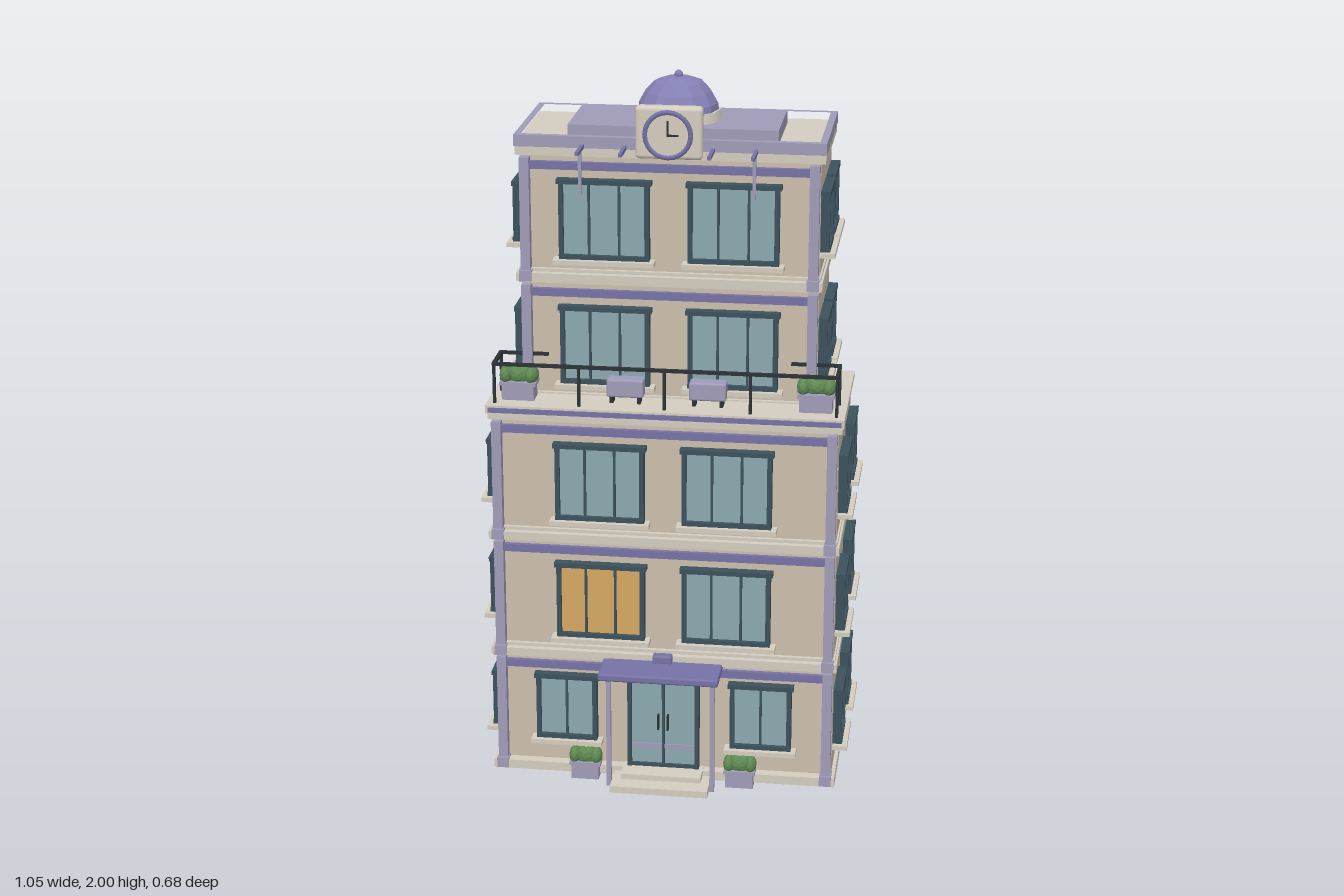
import * as THREE from 'three';
import { RoundedBoxGeometry } from 'three/addons/geometries/RoundedBoxGeometry.js';

const mat = (color, extra = {}) => new THREE.MeshStandardMaterial({ color, ...extra });
const M = {
  wall: mat(0xcbbfac), trim: mat(0xd3ccbf), lilac: mat(0x9f9bb7), purple: mat(0x7672a6),
  dome: mat(0x8480b4, { flatShading: true }), frame: mat(0x3c515c), glass: mat(0x8ba8b0),
  lit: mat(0xd4a762), dark: mat(0x2b3236), leaf: mat(0x5f8a52, { flatShading: true }),
};

function add(parent, name, geometry, material, x = 0, y = 0, z = 0) {
  const mesh = new THREE.Mesh(geometry, material);
  mesh.name = name;
  mesh.position.set(x, y, z);
  parent.add(mesh);
  return mesh;
}
const box = (p, name, m, w, h, d, x, y, z) => add(p, name, new THREE.BoxGeometry(w, h, d), m, x, y, z);
// Box given by its bottom and top heights
const slab = (p, name, m, w, y0, y1, z0, z1, x = 0) =>
  box(p, name, m, w, y1 - y0, z1 - z0, x, (y0 + y1) / 2, (z0 + z1) / 2);
const rounded = (p, name, m, w, h, d, r, x, y, z) =>
  add(p, name, new RoundedBoxGeometry(w, h, d, 2, r), m, x, y, z);

function group(parent, name, x = 0, y = 0, z = 0, turn = 0) {
  const g = new THREE.Group();
  g.name = name;
  g.position.set(x, y, z);
  g.rotation.y = turn;
  parent.add(g);
  return g;
}

// Framed window facing local +z, origin at its centre on the wall
function addWindow(parent, x, y, z, turn, w, h, panes, glass = M.glass) {
  const g = group(parent, 'window', x, y, z, turn);
  const t = 0.013;
  box(g, 'glass', glass, w - t, h - t, 0.03, 0, 0, 0);
  for (const s of [-1, 1]) {
    box(g, 'frameSide', M.frame, t, h, 0.05, s * (w - t) / 2, 0, 0);
    box(g, 'frameRail', M.frame, w + (s > 0 ? 0.012 : 0), t, 0.054, 0, s * (h - t) / 2, 0);
  }
  for (let i = 1; i < panes; i++)
    box(g, 'mullion', M.frame, 0.007, h - t, 0.04, w * (i / panes - 0.5), 0, 0);
  box(g, 'sill', M.trim, w + 0.03, 0.013, 0.06, 0, -h / 2 - 0.006, 0.012);
}

// Planter box with a clipped row of shrubs
function addPlanter(parent, x, y, z, w, d) {
  const g = group(parent, 'planter', x, y, z);
  box(g, 'planterBox', M.lilac, w * 0.88, 0.045, d * 0.9, 0, 0.0225, 0);
  box(g, 'planterRim', M.lilac, w, 0.01, d, 0, 0.047, 0);
  for (let i = 0; i < 4; i++) {
    const bush = add(g, 'shrub', new THREE.IcosahedronGeometry(1, 1), M.leaf, w * (i - 1.5) * 0.235, 0.068, 0);
    bush.scale.set(w * 0.18, 0.027, d * 0.55);
    bush.rotation.y = i;
  }
}

function addStorey(root, i) {
  const upper = i > 2, y = [0.01, 0.366, 0.722, 1.085, 1.445][i];
  const hw = upper ? 0.412 : 0.482, zf = upper ? 0.08 : 0.2, zb = -0.3;
  const g = group(root, 'storey' + (i + 1), 0, y, 0);
  slab(g, 'walls', M.wall, hw * 2, 0, 0.355, zb, zf);
  slab(g, 'baseBand', M.trim, hw * 2 + 0.022, 0, 0.024, zb - 0.01, zf + 0.03);
  if (i) slab(g, 'baseLip', M.trim, hw * 2 + 0.01, -0.008, 0.033, zb - 0.005, zf + 0.012);
  // Corner pilasters and head beam of the facade
  for (const s of [-1, 1]) {
    slab(g, 'pilaster', M.lilac, 0.027, 0.02, 0.347, zf - 0.01, zf + 0.025, s * (hw - 0.015));
    slab(g, 'pilasterFoot', M.lilac, 0.034, 0.0, 0.03, zf - 0.01, zf + 0.034, s * (hw - 0.015));
  }
  slab(g, 'headBeam', M.purple, hw * 2 - 0.05, 0.314, 0.336, zf - 0.01, zf + 0.013);
  for (const s of [-1, 1]) {
    // Front
    if (i) addWindow(g, s * 0.178, 0.178, zf, 0, 0.25, 0.225, 3, i === 1 && s < 0 ? M.lit : M.glass);
    else addWindow(g, s * 0.279, 0.2, zf, 0, 0.175, 0.2, 2);
    // Sides
    for (const z of upper ? [-0.012, -0.208] : [0.08, -0.183])
      addWindow(g, s * hw, 0.185, z, s * Math.PI / 2, 0.152, 0.172, 2);
    // Back
    addWindow(g, s * (upper ? 0.235 : 0.275), 0.188, zb, Math.PI, 0.182, 0.18, 2, i === 1 && s > 0 ? M.lit : M.glass);
  }
}

function addEntrance(root) {
  const g = group(root, 'entrance');
  box(g, 'doorGlass', M.glass, 0.19, 0.29, 0.03, 0, 0.185, 0.2);
  box(g, 'doorHead', M.frame, 0.205, 0.014, 0.054, 0, 0.335, 0.2);
  box(g, 'threshold', M.frame, 0.2, 0.012, 0.045, 0, 0.04, 0.2);
  box(g, 'doorMeetingStile', M.frame, 0.008, 0.29, 0.042, 0, 0.185, 0.2);
  box(g, 'kickRail', M.lilac, 0.18, 0.014, 0.036, 0, 0.1, 0.2);
  slab(g, 'lowerStep', M.trim, 0.28, 0.0, 0.02, 0.2, 0.33);
  slab(g, 'upperStep', M.trim, 0.23, 0.02, 0.036, 0.2, 0.28);
  rounded(g, 'canopy', M.purple, 0.34, 0.022, 0.145, 0.006, 0, 0.362, 0.267);
  rounded(g, 'canopyLamp', M.purple, 0.056, 0.026, 0.03, 0.006, 0, 0.382, 0.232);
  for (const s of [-1, 1]) {
    box(g, 'doorFrame', M.frame, 0.012, 0.3, 0.05, s * 0.097, 0.185, 0.2);
    box(g, 'doorHandle', M.dark, 0.005, 0.045, 0.016, s * 0.014, 0.18, 0.225);
    box(g, 'canopyPost', M.lilac, 0.013, 0.355, 0.013, s * 0.148, 0.1775, 0.282);
    addPlanter(g, s * 0.223, 0, 0.235, 0.09, 0.045);
  }
}

function addBackDoor(root) {
  const g = group(root, 'serviceEntrance');
  box(g, 'serviceDoor', M.lilac, 0.088, 0.275, 0.024, 0, 0.172, -0.3);
  box(g, 'serviceDoorHead', M.frame, 0.106, 0.012, 0.046, 0, 0.315, -0.3);
  for (const s of [-1, 1]) box(g, 'serviceDoorJamb', M.frame, 0.01, 0.28, 0.036, s * 0.047, 0.172, -0.3);
  for (let i = 0; i < 4; i++) {
    const slat = box(g, 'ventSlat', M.dark, 0.1, 0.012, 0.035, 0.125, 0.125 + i * 0.022, -0.31);
    slat.rotation.x = 0.3;
  }
}

function addBalcony(root) {
  const g = group(root, 'balcony');
  slab(g, 'terrace', M.trim, 0.985, 1.07, 1.086, -0.305, 0.205);
  slab(g, 'balconyFloor', M.trim, 0.996, 1.09, 1.114, 0.03, 0.215);
  slab(g, 'balconyEdge', M.purple, 0.98, 1.094, 1.108, 0.2, 0.219);
  const posts = [[-0.475, 0.19], [-0.238, 0.19], [0, 0.19], [0.238, 0.19], [0.475, 0.19], [-0.475, 0.085], [0.475, 0.085]];
  for (const [x, z] of posts) box(g, 'railPost', M.dark, 0.008, 0.12, 0.008, x, 1.17, z);
  box(g, 'frontRail', M.dark, 0.96, 0.009, 0.01, 0, 1.228, 0.19);
  box(g, 'backRail', M.dark, 0.14, 0.009, 0.008, -0.41, 1.228, 0.085);
  box(g, 'backRail', M.dark, 0.14, 0.009, 0.008, 0.41, 1.228, 0.085);
  for (const s of [-1, 1]) {
    box(g, 'sideRail', M.dark, 0.01, 0.009, 0.112, s * 0.475, 1.228, 0.138);
    addPlanter(g, s * 0.415, 1.114, 0.135, 0.103, 0.06);
    rounded(g, 'bench', M.lilac, 0.103, 0.052, 0.046, 0.006, s * 0.115, 1.158, 0.133);
    for (const e of [-1, 1]) box(g, 'benchFoot', M.dark, 0.01, 0.024, 0.036, s * 0.115 + e * 0.038, 1.124, 0.133);
  }
}

function addRoof(root) {
  const g = group(root, 'roof');
  slab(g, 'cornice', M.trim, 0.85, 1.795, 1.828, -0.308, 0.085);
  // Parapet ring
  const rect = (w, z0, z1, S) => new S([[-w, z0], [w, z0], [w, z1], [-w, z1]].map(([x, z]) => new THREE.Vector2(x, -z)));
  const ring = rect(0.427, -0.312, 0.09, THREE.Shape);
  ring.holes.push(rect(0.408, -0.293, 0.07, THREE.Path));
  const parapet = new THREE.ExtrudeGeometry(ring, { depth: 0.032, bevelEnabled: false });
  add(g, 'parapet', parapet, M.lilac, 0, 1.82, 0).rotation.x = -Math.PI / 2;
  slab(g, 'roofDeck', M.lilac, 0.58, 1.82, 1.867, -0.244, 0.015);
  // Twelve-sided dome on a drum
  add(g, 'drum', new THREE.CylinderGeometry(0.118, 0.124, 0.03, 12), M.trim, 0, 1.878, -0.115);
  const profile = [[0.112, 1.89], [0.11, 1.91], [0.092, 1.942], [0.068, 1.968], [0.035, 1.98], [0, 1.983]];
  add(g, 'dome', new THREE.LatheGeometry(profile.map(p => new THREE.Vector2(...p)), 12), M.dome, 0, 0, -0.115);
  add(g, 'finial', new THREE.SphereGeometry(0.012, 8, 6), M.dome, 0, 1.988, -0.115);
  // Brackets with hanging rods
  for (const s of [-1, 1]) {
    for (const x of [0.12, 0.237]) box(g, 'bracket', M.purple, 0.01, 0.01, 0.125, s * x, 1.826, 0.122);
    box(g, 'hangingRod', M.lilac, 0.009, 0.125, 0.009, s * 0.237, 1.765, 0.135);
  }
}

function addClock(root) {
  const g = group(root, 'clock', 0, 1.869, 0);
  rounded(g, 'clockHousing', M.trim, 0.184, 0.146, 0.038, 0.012, 0, 0, 0.078);
  const disc = (name, r, d, m, z) => {
    add(g, name, new THREE.CylinderGeometry(r, r, d, 24), m, 0, 0, z).rotation.x = Math.PI / 2;
  };
  disc('clockCase', 0.064, 0.022, M.purple, 0.104);
  disc('clockFace', 0.056, 0.006, M.trim, 0.114);
  add(g, 'clockRim', new THREE.TorusGeometry(0.062, 0.007, 6, 24), M.purple, 0, 0, 0.115);
  box(g, 'minuteHand', M.dark, 0.005, 0.042, 0.005, 0, 0.019, 0.12);
  box(g, 'hourHand', M.dark, 0.032, 0.005, 0.005, 0.014, 0, 0.12);
}

export function createModel() {
  const root = new THREE.Group();
  root.name = 'building';
  slab(root, 'foundation', M.trim, 0.985, 0, 0.014, -0.305, 0.215);
  for (let i = 0; i < 5; i++) addStorey(root, i);
  addEntrance(root);
  addBackDoor(root);
  addBalcony(root);
  addRoof(root);
  addClock(root);
  return root;
}
